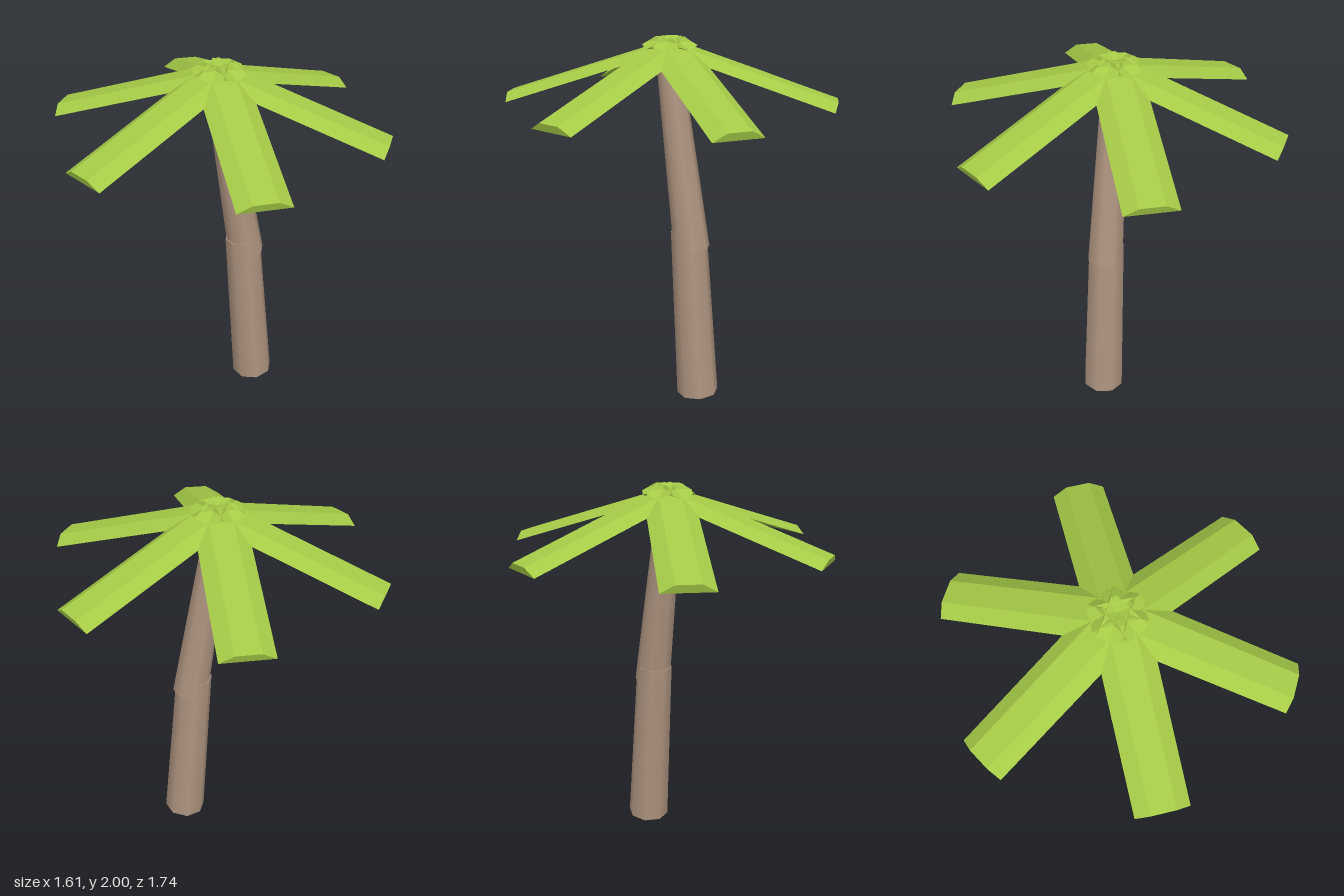
import * as THREE from 'three';

const barkMaterial = new THREE.MeshStandardMaterial({ color: 0xad937f });
barkMaterial.name = 'bark';
const leafMaterial = new THREE.MeshStandardMaterial({ color: 0xa4ca46 });
leafMaterial.name = 'leaf green';

// Tapered eight-sided log running from one point to another
function log(name, from, to, rBottom, rTop) {
  const dir = to.clone().sub(from);
  const mesh = new THREE.Mesh(new THREE.CylinderGeometry(rTop, rBottom, dir.length(), 8), barkMaterial);
  mesh.name = name;
  mesh.position.copy(from).add(to).multiplyScalar(0.5);
  mesh.quaternion.setFromUnitVectors(new THREE.Vector3(0, 1, 0), dir.normalize());
  return mesh;
}

export function createModel() {
  const group = new THREE.Group();
  group.name = 'palmTree';

  // Bent trunk in two overlapping pieces
  const trunk = new THREE.Group();
  trunk.name = 'trunk';
  trunk.add(
    log('lowerTrunk', new THREE.Vector3(0.205, 0.01, 0), new THREE.Vector3(0.133, 0.974, 0), 0.116, 0.098),
    log('upperTrunk', new THREE.Vector3(0.153, 0.875, 0), new THREE.Vector3(-0.012, 1.93, 0), 0.099, 0.066)
  );
  group.add(trunk);

  // Frond: flat-bottomed bevelled plank, sloping down from the crown
  const section = new THREE.Shape([
    new THREE.Vector2(-0.13, 0), new THREE.Vector2(0.13, 0),
    new THREE.Vector2(0.06, 0.042), new THREE.Vector2(-0.06, 0.042)
  ]);
  const frond = new THREE.ExtrudeGeometry(section, { depth: 0.967, bevelEnabled: false });
  frond.rotateX(THREE.MathUtils.degToRad(18.2));
  frond.translate(0, 1.96, -0.062);

  // Six fronds around the crown
  const crown = new THREE.Group();
  crown.name = 'crown';
  for (let i = 0; i < 6; i++) {
    const leaf = new THREE.Mesh(frond, leafMaterial);
    leaf.name = `frond${i + 1}`;
    leaf.rotation.y = (i * Math.PI) / 3;
    crown.add(leaf);
  }
  group.add(crown);
  return group;
}
